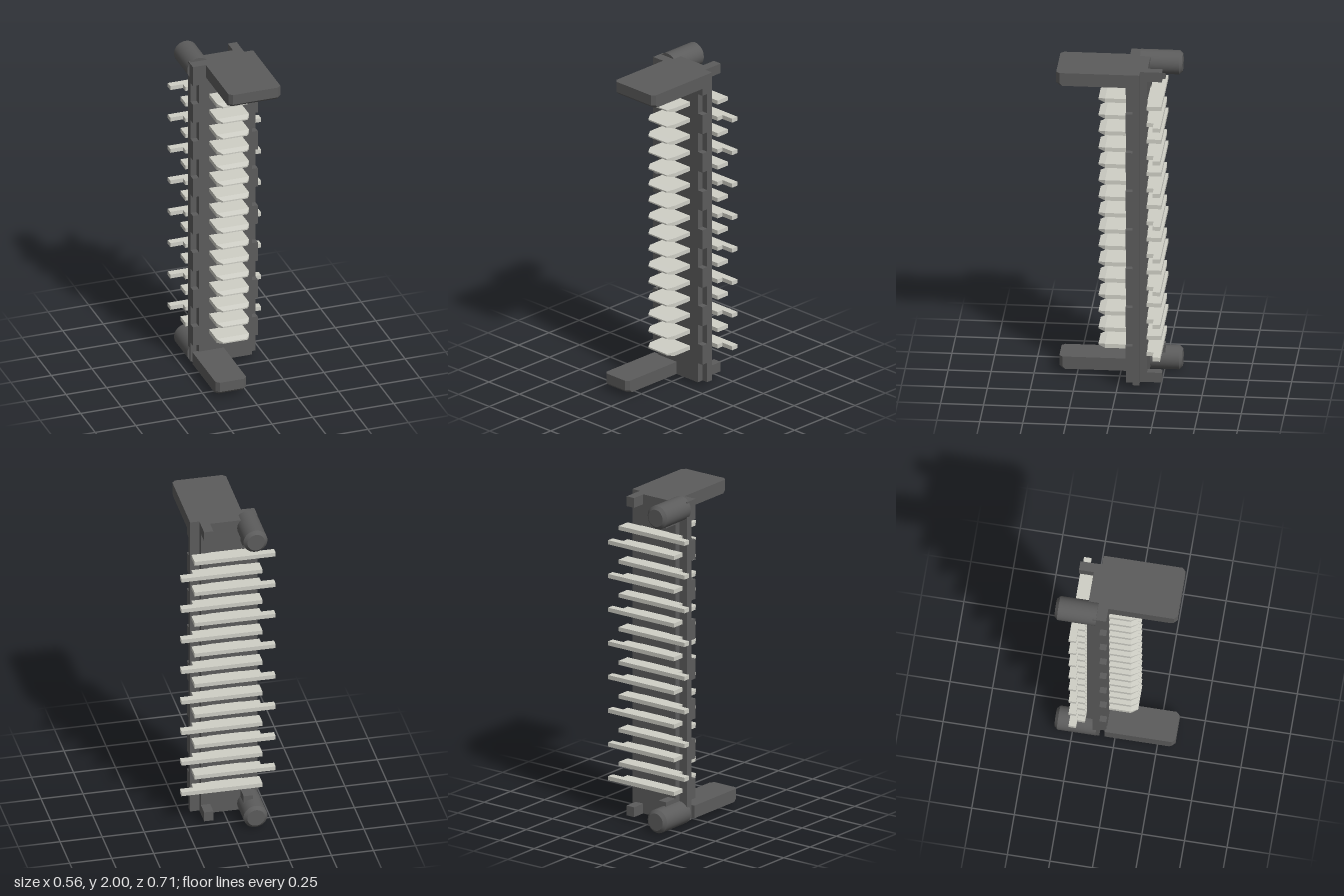
import * as THREE from 'three';
import { ConvexGeometry } from 'three/addons/geometries/ConvexGeometry.js';

const dark = new THREE.MeshStandardMaterial({ color: 0x5c5c5c });
const metal = new THREE.MeshStandardMaterial({ color: 0xcfcfc6 });

function add(parent, name, geometry, material) {
  const mesh = new THREE.Mesh(geometry, material);
  mesh.name = name;
  parent.add(mesh);
  return mesh;
}

function box(parent, name, x0, x1, y0, y1, z0, z1) {
  const mesh = add(parent, name, new THREE.BoxGeometry(x1 - x0, y1 - y0, z1 - z0), dark);
  mesh.position.set((x0 + x1) / 2, (y0 + y1) / 2, (z0 + z1) / 2);
}

// Extrude an outline of [x, z] points upward from y0 to y1
function slab(outline, y0, y1) {
  const shape = new THREE.Shape(outline.map(([x, z]) => new THREE.Vector2(x, -z)));
  const g = new THREE.ExtrudeGeometry(shape, { depth: y1 - y0, bevelEnabled: false });
  return g.rotateX(-Math.PI / 2).translate(0, y0, 0);
}

// Plate cross-section: stepped back edges, optionally notched front corners
function plateOutline(notched) {
  const half = [[0.145, -0.17], [0.145, -0.13], [0.2, -0.13]];
  if (notched) half.push([0.2, -0.09], [0.163, -0.09], [0.163, -0.05]);
  else half.push([0.2, -0.05]);
  return [...half, ...half.map(([x, z]) => [-x, z]).reverse()];
}

// Guide arm with chamfered front corners and lower front edge
function arm(x0, x1, y0, y1) {
  const c = 0.02, front = 0.355, points = [];
  for (const [y, inset] of [[y0, 0.016], [y0 + 0.016, 0], [y1, 0]]) {
    const f = front - inset;
    for (const [x, z] of [[x0, -0.06], [x1, -0.06], [x1, f - c], [x1 - c, f], [x0 + c, f], [x0, f - c]])
      points.push(new THREE.Vector3(x, y, z));
  }
  return new ConvexGeometry(points);
}

export function createModel() {
  const model = new THREE.Group();

  // Base plate, built in alternating notched and plain sections
  const plate = new THREE.Group();
  plate.name = 'basePlate';
  model.add(plate);
  const pitch = 0.2434, notch = 0.122, bottom = 0.03, top = 1.98;
  for (let i = 0; i < 8; i++) {
    const y = bottom + i * pitch;
    const end = i === 7 ? top : y + pitch;
    add(plate, 'notchedSection', slab(plateOutline(true), y, y + notch), dark);
    add(plate, 'plainSection', slab(plateOutline(false), y + notch, end), dark);
  }

  // Guide arms
  add(model, 'upperArm', arm(-0.12, 0.2, 1.9, 1.98), dark);
  add(model, 'lowerArm', arm(-0.2, -0.01, 0.03, 0.107), dark);

  // Locating pegs with chamfered ends
  const pegProfile = [[0, -0.11], [0.071, -0.11], [0.071, -0.11], [0.071, -0.337],
    [0.071, -0.337], [0.052, -0.355], [0.052, -0.355], [0, -0.355]];
  for (const y of [0.072, 1.929]) {
    const g = new THREE.LatheGeometry(pegProfile.map(([r, z]) => new THREE.Vector2(r, -z)), 40);
    const peg = add(model, 'locatingPeg', g.rotateX(-Math.PI / 2), dark);
    peg.position.set(-0.142, y, 0);
  }

  // Standoff blocks on the back
  box(model, 'upperStandoff', 0.09, 0.145, 1.92, 1.98, -0.257, -0.13);
  box(model, 'lowerStandoff', 0.09, 0.145, 0.03, 0.09, -0.257, -0.13);
  box(model, 'upperPegBlock', -0.145, -0.09, 1.842, 1.9, -0.257, -0.13);
  box(model, 'lowerPegBlock', -0.145, -0.09, 0.1, 0.168, -0.257, -0.13);

  // Contacts, tails alternating from side to side
  const t = 0.0125;
  const body = [[-0.28, -0.258], [0.202, -0.258], [0.202, -0.174], [0.1, -0.174],
    [0.1, 0.078], [-0.1, 0.078], [-0.1, -0.174], [-0.202, -0.174], [-0.202, -0.214], [-0.28, -0.214]];
  const tip = [];
  for (const [x, y, z] of [[0.1, t, 0.078], [0.075, 0.004, 0.118]])
    for (const sx of [-1, 1]) for (const sy of [-1, 1]) tip.push(new THREE.Vector3(sx * x, sy * y, z));
  const bodyGeometry = slab(body, -t, t);
  const tipGeometry = new ConvexGeometry(tip);
  for (let i = 0; i < 16; i++) {
    const contact = new THREE.Group();
    contact.name = 'contact';
    contact.position.y = 1.775 - i * 0.103;
    if (i % 2) contact.rotation.z = Math.PI;
    add(contact, 'contactBody', bodyGeometry, metal);
    add(contact, 'contactTip', tipGeometry, metal);
    model.add(contact);
  }
  return model;
}
